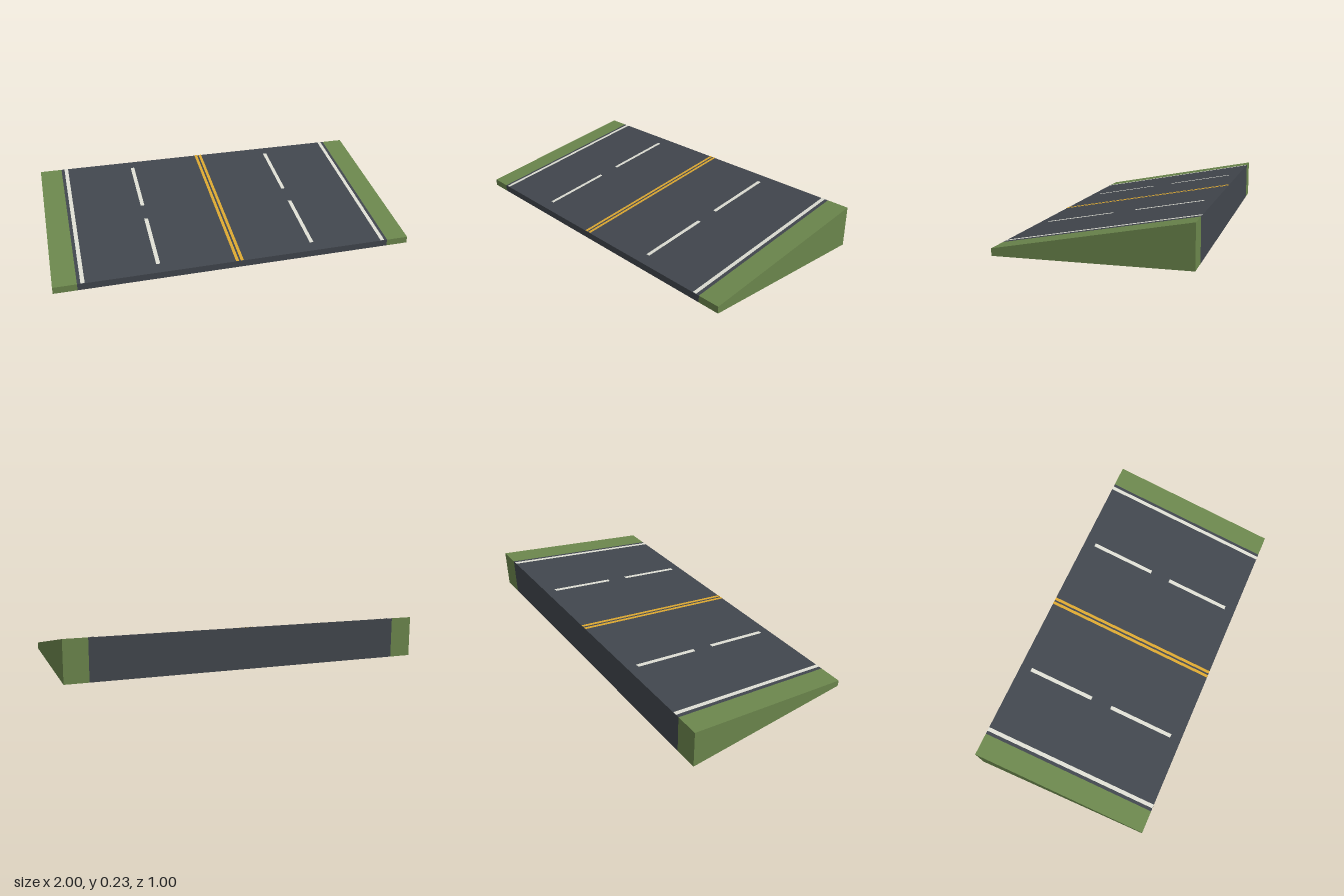
import * as THREE from 'three';

const FRONT_H = 0.0375, BACK_H = 0.225, HALF_Z = 0.5, ROAD = 0.874;

const paint = (name, color) => {
  const m = new THREE.MeshStandardMaterial({ color, side: THREE.DoubleSide });
  m.name = name;
  return m;
};

// Height of the sloped surface at a given z
const slopeY = (z) => THREE.MathUtils.mapLinear(z, HALF_Z, -HALF_Z, FRONT_H, BACK_H);

// Flat-shaded geometry from four-cornered faces, corners counter-clockwise
function quads(faces) {
  const points = faces.flatMap(([a, b, c, d]) => [a, b, c, a, c, d]);
  const g = new THREE.BufferGeometry();
  g.setAttribute('position', new THREE.Float32BufferAttribute(points.flat(), 3));
  g.computeVertexNormals();
  return g;
}

// Sweeps a [y, z] profile across from x0 to x1
function sweep(profile, x0, x1) {
  return profile.slice(1).map((q, i) => {
    const p = profile[i];
    return [[x0, ...p], [x1, ...p], [x1, ...q], [x0, ...q]];
  });
}

export function createModel() {
  const model = new THREE.Group();
  model.name = 'roadRamp';
  const asphalt = paint('asphalt', 0x41464d);
  const grass = paint('grass', 0x6b864c);
  const white = paint('whitePaint', 0xdcdcd2);
  const yellow = paint('yellowPaint', 0xdaa630);

  const add = (name, faces, material) => {
    const mesh = new THREE.Mesh(quads(faces), material);
    mesh.name = name;
    model.add(mesh);
  };

  // Wedge shell, open underneath: front lip, slope, back wall
  const shell = [[0, HALF_Z], [FRONT_H, HALF_Z], [BACK_H, -HALF_Z], [0, -HALF_Z]];
  add('roadway', sweep(shell, -ROAD, ROAD), asphalt);

  // Painted strip lying on the slope
  const strip = (name, x, width, z0, z1, material) => {
    const profile = [z0, z1].map((z) => [slopeY(z) + 0.002, z]);
    add(name, sweep(profile, x - width / 2, x + width / 2), material);
  };

  for (const s of [1, -1]) {
    const side = s > 0 ? 'left' : 'right';

    // Grass verge with its triangular side wall
    const wall = shell.map(([y, z]) => [s, y, z]);
    if (s > 0) wall.reverse();
    const verge = s > 0 ? sweep(shell, ROAD, 1) : sweep(shell, -1, -ROAD);
    add(side + 'Verge', [...verge, wall], grass);

    // Lane markings
    strip(side + 'EdgeLine', s * 0.845, 0.022, HALF_Z, -HALF_Z, white);
    strip(side + 'FrontDash', s * 0.438, 0.022, 0.438, 0.06, white);
    strip(side + 'BackDash', s * 0.438, 0.022, -0.06, -0.438, white);
    strip(side + 'CentreLine', s * 0.0135, 0.017, HALF_Z, -HALF_Z, yellow);
  }
  return model;
}
